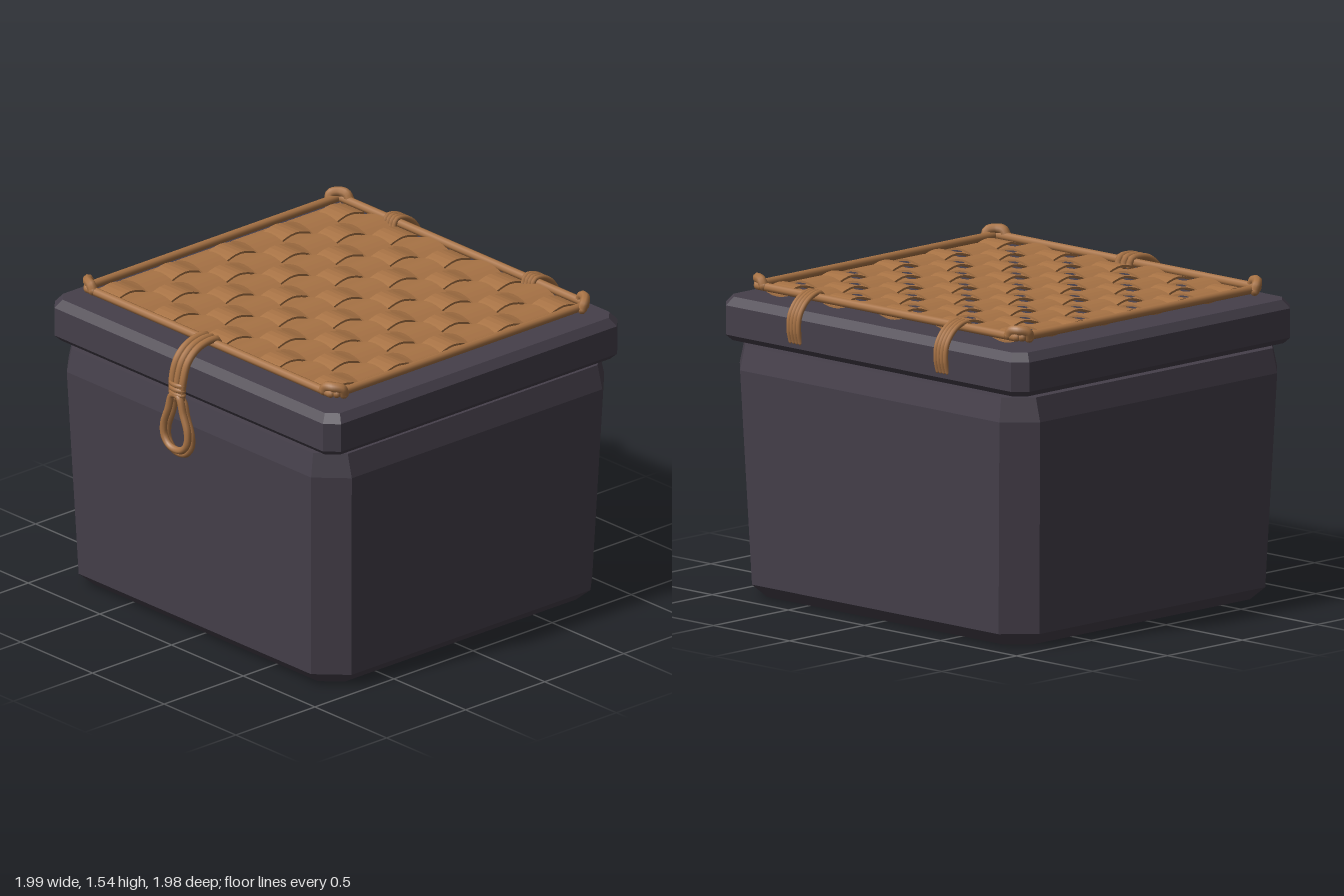
import * as THREE from 'three';

const V = (x, y, z) => new THREE.Vector3(x, y, z);

// Closed faceted solid through chamfered rectangles: [y, halfX, halfZ, chamfer]
function chamferedLoft(rings) {
  const pos = [], index = [], n = 8;
  for (const [y, hx, hz, c] of rings) {
    const a = hx - c, b = hz - c;
    for (const [x, z] of [[hx, -b], [hx, b], [a, hz], [-a, hz], [-hx, b], [-hx, -b], [-a, -hz], [a, -hz]]) pos.push(x, y, z);
  }
  for (let i = 0; i < rings.length - 1; i++) {
    for (let k = 0; k < n; k++) {
      const a = i * n + k, b = i * n + (k + 1) % n;
      index.push(a, a + n, b + n, a, b + n, b);
    }
  }
  const t = (rings.length - 1) * n;
  for (let k = 1; k < n - 1; k++) index.push(0, k, k + 1, t, t + k + 1, t + k);
  const g = new THREE.BufferGeometry();
  g.setAttribute('position', new THREE.Float32BufferAttribute(pos, 3));
  g.setIndex(index);
  return flat(g);
}

function flat(g) {
  const f = g.toNonIndexed();
  f.computeVertexNormals();
  return f;
}

export function createModel() {
  const lacquer = new THREE.MeshStandardMaterial({ color: 0x453f4a });
  lacquer.name = 'dark lacquer';
  const cane = new THREE.MeshStandardMaterial({ color: 0xa87345 });
  cane.name = 'brown cane';

  const model = new THREE.Group();
  model.name = 'lidded basket box';
  const add = (name, geo, mat, parent = model) => {
    const m = new THREE.Mesh(geo, mat);
    m.name = name;
    parent.add(m);
    return m;
  };
  const group = (name) => {
    const g = new THREE.Group();
    g.name = name;
    model.add(g);
    return g;
  };

  // Cord along a curve, with rounded ends when open
  const cord = (name, pts, r, parent, closed = false, seg = 24) => {
    const curve = new THREE.CatmullRomCurve3(pts, closed);
    add(name, new THREE.TubeGeometry(curve, seg, r, 8, closed), cane, parent);
    if (closed) return;
    for (const p of [pts[0], pts[pts.length - 1]]) {
      add(name + 'End', new THREE.SphereGeometry(r, 8, 6), cane, parent).position.copy(p);
    }
  };

  // Box and lid
  const body = chamferedLoft([
    [0, 0.87, 0.82, 0.09], [0.065, 0.945, 0.89, 0.135],
    [1.09, 0.987, 0.927, 0.135], [1.205, 0.957, 0.905, 0.115],
  ]);
  add('boxBody', body, lacquer).position.z = -0.037;
  const lid = chamferedLoft([
    [1.222, 0.97, 0.905, 0.05], [1.25, 0.997, 0.932, 0.06],
    [1.39, 0.997, 0.932, 0.06], [1.43, 0.965, 0.9, 0.05],
  ]);
  add('lid', lid, lacquer).position.z = -0.04;

  // Woven panel: strips rise and dip in alternation
  const weave = group('wovenPanel');
  const N = 9, px = 0.186, pz = 0.174, zMid = -0.046, midY = 1.463, amp = 0.02;
  const strip = (name, width, length, pitch, sign) => {
    const g = new THREE.BoxGeometry(width, 0.01, length, 1, 1, N * 6);
    const p = g.attributes.position;
    for (let i = 0; i < p.count; i++) {
      p.setY(i, p.getY(i) + midY + sign * amp * Math.cos(Math.PI * p.getZ(i) / pitch));
    }
    return add(name, flat(g), cane, weave);
  };
  for (let i = 0; i < N; i++) {
    const o = i - (N - 1) / 2, sign = i % 2 ? -1 : 1;
    strip('lengthwiseStrip', 0.138, N * pz, pz, sign).position.set(o * px, 0, zMid);
    const cross = strip('crosswiseStrip', 0.168, N * px, px, -sign);
    cross.rotation.y = Math.PI / 2;
    cross.position.z = zMid + o * pz;
  }

  // Rim rods around the panel, with a lashing over each corner
  const rim = group('panelRim');
  const rx = 0.867, zF = 0.762, zB = -0.848, ry = 1.48;
  for (const z of [zF, zB]) cord('rimRod', [V(-rx + 0.02, ry, z), V(rx - 0.02, ry, z)], 0.021, rim, false, 1);
  for (const s of [-1, 1]) {
    cord('rimRod', [V(s * rx, ry, zB + 0.02), V(s * rx, ry, zF - 0.02)], 0.021, rim, false, 1);
    for (const [z, d] of [[zF, 1], [zB, -1]]) {
      cord('cornerLashing', [
        V(s * 0.882, 1.475, z - d * 0.052), V(s * 0.885, 1.503, z - d * 0.04),
        V(s * 0.855, 1.513, z - d * 0.008), V(s * 0.82, 1.508, z + d * 0.004),
        V(s * 0.805, 1.485, z + d * 0.006),
      ], 0.024, rim, false, 16);
    }
  }

  // Front strap, its wrapping and the hanging double loop
  const clasp = group('frontClasp');
  for (const x of [-0.037, 0, 0.037]) {
    cord('strapCord', [
      V(x, 1.465, 0.735), V(x, 1.495, 0.745), V(x, 1.502, 0.79), V(x, 1.483, 0.87),
      V(x, 1.43, 0.93), V(x, 1.34, 0.96), V(x * 0.8, 1.25, 0.965),
    ], 0.018, clasp);
  }
  for (const y of [1.272, 1.296, 1.32]) {
    const g = new THREE.TorusGeometry(0.042, 0.012, 8, 20).rotateX(Math.PI / 2).scale(1, 1, 0.5);
    add('strapWrapping', g, cane, clasp).position.set(0, y, 0.964);
  }
  for (const [z, drop] of [[0.974, 0], [0.95, 0.024]]) {
    const side = [[0.022, 1.262], [0.052, 1.18], [0.082, 1.1], [0.08, 1.04], [0.048, 0.999]];
    const pts = side.map(([x, y]) => V(x, y - drop, z));
    pts.push(V(0, 0.987 - drop, z));
    for (const [x, y] of side.slice().reverse()) pts.push(V(-x, y - drop, z));
    cord('claspLoop', pts, 0.018, clasp, true, 48);
  }

  // Back hinge straps
  for (const s of [-1, 1]) {
    const hinge = group(s > 0 ? 'leftHinge' : 'rightHinge');
    for (let i = 0; i < 4; i++) {
      const x = s * 0.483 + (i - 1.5) * 0.021;
      cord('hingeCord', [
        V(x, 1.465, -0.815), V(x, 1.5, -0.83), V(x, 1.5, -0.87), V(x, 1.468, -0.93),
        V(x, 1.41, -0.972), V(x, 1.34, -0.98), V(x, 1.28, -0.966),
      ], 0.0125, hinge);
    }
  }
  return model;
}
